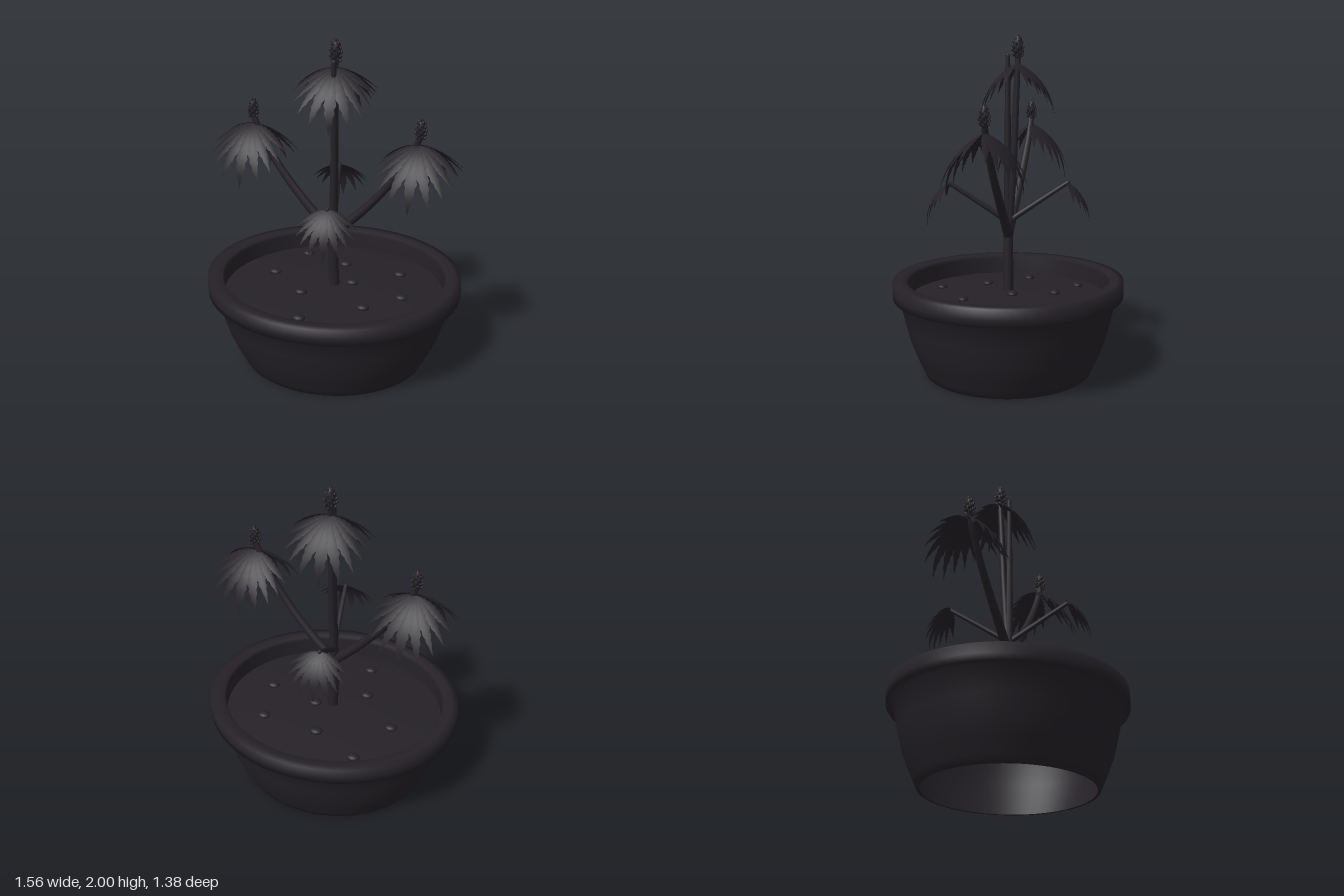
import * as THREE from 'three';
import { mergeGeometries } from 'three/addons/utils/BufferGeometryUtils.js';

const V = (x, y, z) => new THREE.Vector3(x, y, z);
const dark = new THREE.MeshStandardMaterial({ color: 0x252127 });
const darkThin = new THREE.MeshStandardMaterial({ color: 0x252127, side: THREE.DoubleSide });
const DEPTH = 0.885; // the pot is oval: depth / width

function part(name, geometry, material = dark) {
  const mesh = new THREE.Mesh(geometry, material);
  mesh.name = name;
  return mesh;
}

// Oval turned shape from [radius, height] pairs
function ovalLathe(profile) {
  const g = new THREE.LatheGeometry(profile.map(p => new THREE.Vector2(...p)), 64);
  return g.scale(1, 1, DEPTH);
}

// Tube along points, narrowing from r0 to r1
function branch(points, r0, r1) {
  const path = new THREE.CatmullRomCurve3(points), n = 14, sides = 10;
  const g = new THREE.TubeGeometry(path, n, 1, sides);
  const pos = g.attributes.position, v = V(0, 0, 0);
  for (let i = 0; i <= n; i++) {
    const c = path.getPointAt(i / n), r = r0 + (r1 - r0) * i / n;
    for (let j = 0; j <= sides; j++) {
      const k = i * (sides + 1) + j;
      v.fromBufferAttribute(pos, k).sub(c).multiplyScalar(r).add(c);
      pos.setXYZ(k, v.x, v.y, v.z);
    }
  }
  const cap = new THREE.SphereGeometry(r1, sides, 6);
  cap.translate(...path.getPointAt(1).toArray());
  return mergeGeometries([g, cap]);
}

// Bends the flat leaf sheet: u runs sideways, v outwards and over in an arc
function bendLeaf(u, v) {
  const start = 0.45, curl = 2.7, angle = start + curl * v;
  return [u,
    (Math.cos(angle) - Math.cos(start)) / curl - 1.7 * u * u,
    (Math.sin(angle) - Math.sin(start)) / curl];
}

// One saw-edged leaflet of the sheet, at angle a from straight out
function leaflet(a, length, width) {
  const rows = 16, pos = [], idx = [];
  for (let i = 0; i <= rows; i++) {
    const t = i / rows, d = t * length;
    const saw = i % 2 ? 1.12 : 0.86;
    const w = width * saw * Math.sin(Math.PI * t ** 0.85) + 0.003 * (1 - t);
    for (const s of [-1, 0, 1]) {
      const p = bendLeaf(d * Math.sin(a) + s * w * Math.cos(a), d * Math.cos(a) - s * w * Math.sin(a));
      pos.push(p[0], p[1] - Math.abs(s) * w * 0.2, p[2]);
    }
    if (i < rows) {
      for (let s = 0; s < 2; s++) {
        const p = i * 3 + s;
        idx.push(p, p + 3, p + 1, p + 1, p + 3, p + 4);
      }
    }
  }
  const g = new THREE.BufferGeometry();
  g.setAttribute('position', new THREE.Float32BufferAttribute(pos, 3));
  g.setIndex(idx);
  g.computeVertexNormals();
  return g;
}

// Hand-shaped leaf: leaflets fanned over half a circle, the middle one longest
function fanLeaf(name, size = 1) {
  const lengths = [0.42, 0.37, 0.31, 0.275, 0.25];
  const leaflets = [];
  for (let k = -4; k <= 4; k++) {
    const f = Math.abs(k);
    leaflets.push(leaflet(k * 0.32, lengths[f], 0.034 - 0.002 * f));
  }
  const mesh = part(name, mergeGeometries(leaflets), darkThin);
  mesh.scale.setScalar(size);
  return mesh;
}

// Knobbly flower bud, a spiral of small pointed scales on a core
function budGeometry(height, radius) {
  const core = new THREE.SphereGeometry(1, 12, 10);
  core.scale(radius * 0.8, height / 2, radius * 0.8);
  core.translate(0, height / 2, 0);
  const bits = [core];
  const n = 34, up = V(0, 1, 0);
  for (let i = 0; i < n; i++) {
    const t = (i + 0.5) / n, a = i * 2.4;
    const r = radius * 0.85 * Math.sin(Math.PI * (0.25 + 0.7 * t)) ** 0.8;
    const scale = new THREE.SphereGeometry(1, 6, 5);
    scale.scale(0.008, 0.014, 0.008);
    const dir = V(Math.cos(a), 0.9 + t, Math.sin(a)).normalize();
    scale.applyQuaternion(new THREE.Quaternion().setFromUnitVectors(up, dir));
    scale.translate(r * Math.cos(a), height * (0.06 + 0.86 * t), r * Math.sin(a));
    bits.push(scale);
  }
  return mergeGeometries(bits);
}

// Branch tip: two opposite fan leaves under a bud
function crown(name, x, y, z, turn, budLift, budHeight, budRadius) {
  const g = new THREE.Group();
  g.name = name;
  for (const side of [0, 1]) {
    const leaf = fanLeaf(side ? 'backLeaf' : 'frontLeaf');
    leaf.rotation.y = side * Math.PI;
    leaf.position.z = side ? -0.01 : 0.01;
    g.add(leaf);
  }
  const bud = part('bud', budGeometry(budHeight, budRadius));
  bud.position.y = budLift;
  g.add(bud);
  g.position.set(x, y, z);
  g.rotation.y = turn;
  return g;
}

export function createModel() {
  const model = new THREE.Group();
  model.name = 'pottedPlant';

  // Oval pot, hollow underneath, with a thick rim
  model.add(part('pot', ovalLathe([
    [0.55, 0], [0.57, 0], [0.59, 0.04], [0.63, 0.12], [0.665, 0.2], [0.70, 0.32],
    [0.735, 0.46], [0.78, 0.46], [0.782, 0.5], [0.78, 0.56], [0.74, 0.562], [0.69, 0.56], [0.68, 0.54],
    [0.68, 0.44], [0.67, 0.32], [0.64, 0.2], [0.60, 0.1], [0.55, 0]])));

  // Gently domed soil
  const soilY = r => 0.48 - 0.04 * r * r;
  const soilProfile = [];
  for (let i = 8; i >= 0; i--) soilProfile.push([0.68 * i / 8, soilY(i / 8)]);
  model.add(part('soil', ovalLathe(soilProfile), darkThin));

  // Pebbles
  const pebbles = [[-0.25, -0.42], [0.025, -0.28], [0.385, -0.22], [-0.18, 0.14], [0.22, 0.25],
    [-0.13, 0.42], [-0.40, -0.11], [0.43, 0.08], [0.11, -0.03]];
  for (const [x, z] of pebbles) {
    const p = part('pebble', new THREE.SphereGeometry(0.04, 14, 10));
    p.scale.set(1, 0.5, 0.8);
    p.position.set(x, soilY(Math.hypot(x / 0.68, z / 0.6)) + 0.005, z);
    model.add(p);
  }

  // Trunk and upright stems
  model.add(part('trunk', branch([V(0.005, 0.44, 0), V(-0.003, 0.65, 0), V(-0.01, 0.86, 0)], 0.032, 0.028)));
  model.add(part('centreStem', branch([V(-0.005, 0.8, 0), V(0, 1.3, 0.003), V(0, 1.88, 0.003)], 0.026, 0.014)));
  model.add(part('leaningStem', branch([V(-0.005, 0.8, 0), V(0, 1.25, -0.03), V(0, 1.6, -0.045), V(0, 1.9, -0.058)], 0.026, 0.017)));
  model.add(crown('topCrown', 0, 1.835, -0.055, 0, 0.03, 0.135, 0.037));

  // Side branches with crowns
  for (const s of [1, -1]) {
    const z = s > 0 ? 0.095 : -0.115;
    const b = branch([V(-0.005, 0.82, 0), V(s * 0.18, 1.0, z * 0.3), V(s * 0.35, 1.21, z * 0.65),
      V(s * 0.47, 1.41, z * 0.92), V(s * 0.51, 1.51, z)], 0.03, 0.018);
    model.add(part(s > 0 ? 'leftBranch' : 'rightBranch', b));
    model.add(crown(s > 0 ? 'leftCrown' : 'rightCrown', s * 0.51, 1.455, z, -0.18, 0.035, 0.12, 0.032));
  }

  // Short front and back twigs with a single leaf each
  for (const s of [1, -1]) {
    const name = s > 0 ? 'front' : 'back';
    const end = V(s * 0.03, 1.135, s * 0.355);
    model.add(part(name + 'Twig', branch([V(0, 0.9, 0), V(s * 0.015, 1.02, s * 0.18), end], 0.018, 0.013)));
    const leaf = fanLeaf(name + 'TwigLeaf', 0.74);
    leaf.position.copy(end);
    leaf.rotation.set(0.1, s > 0 ? 0 : Math.PI, 0, 'YXZ');
    model.add(leaf);
  }
  return model;
}
